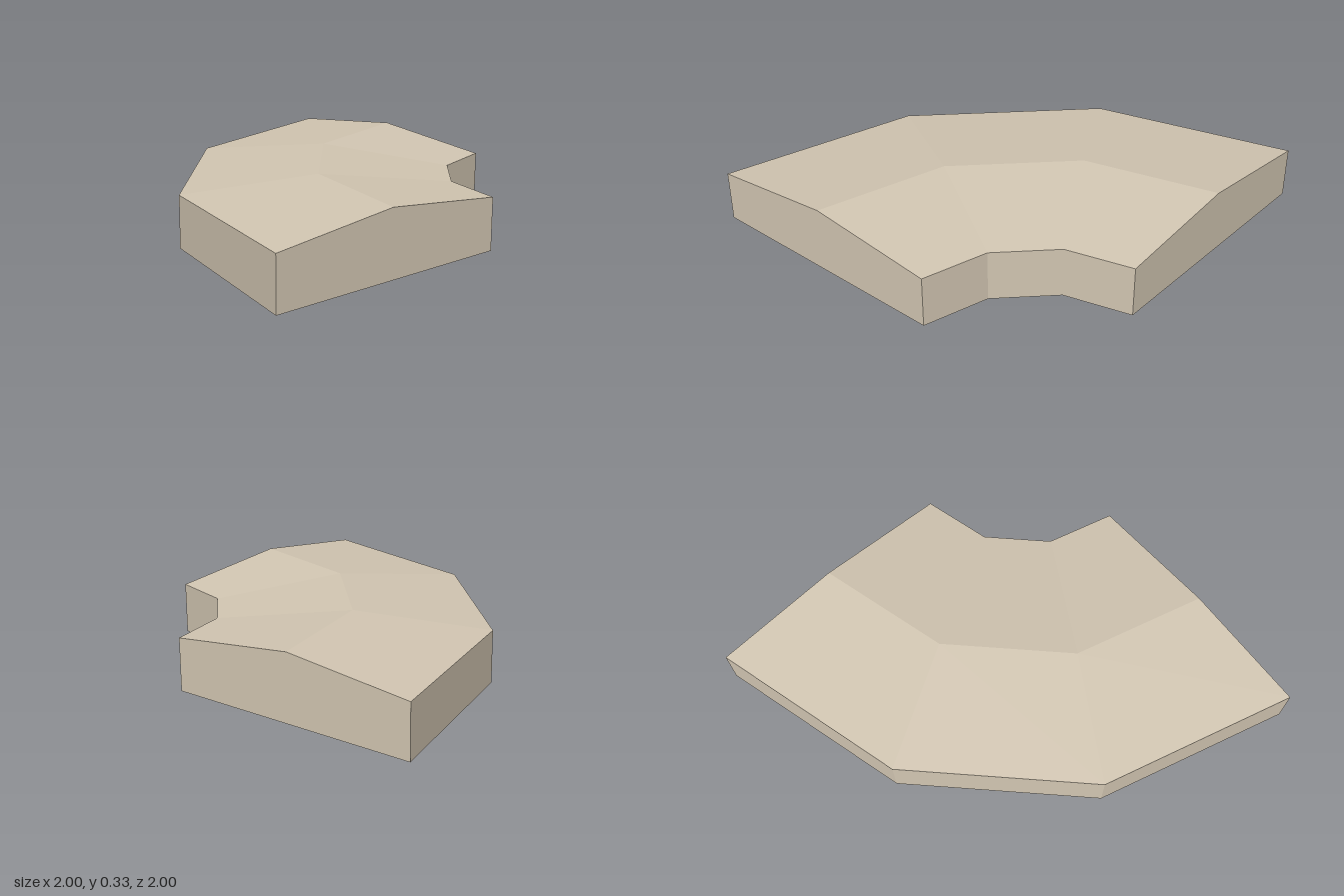
import * as THREE from 'three';

// Cross-section of the curved slab: [radius from the bend centre, height]
const PROFILE = [[0.667, 0], [0.667, 0.26], [1.333, 0.33], [2, 0.26], [2, 0]];
const SEGMENTS = 3;

// Sweep the profile a quarter turn around the corner (1, -1)
function bendGeometry() {
  const rings = [];
  for (let i = 0; i <= SEGMENTS; i++) {
    const a = (i / SEGMENTS) * Math.PI / 2;
    rings.push(PROFILE.map(([r, y]) => [1 - r * Math.cos(a), y, -1 + r * Math.sin(a)]));
  }
  const pos = [];
  const tri = (a, b, c) => pos.push(...a, ...b, ...c);
  const n = PROFILE.length;

  // Walls, sloped tops and underside
  for (let i = 0; i < SEGMENTS; i++) {
    const a = rings[i], b = rings[i + 1];
    for (let j = 0; j < n; j++) {
      const k = (j + 1) % n;
      tri(a[j], a[k], b[k]);
      tri(a[j], b[k], b[j]);
    }
  }

  // End caps
  const start = rings[0], end = rings[SEGMENTS];
  for (let j = 1; j < n - 1; j++) {
    tri(start[0], start[j + 1], start[j]);
    tri(end[0], end[j], end[j + 1]);
  }

  const geo = new THREE.BufferGeometry();
  geo.setAttribute('position', new THREE.Float32BufferAttribute(pos, 3));
  geo.computeVertexNormals();
  return geo;
}

export function createModel() {
  const group = new THREE.Group();
  group.name = 'curvedPathPiece';
  const stone = new THREE.MeshStandardMaterial({ color: 0xd2c6b2 });
  stone.name = 'sandstone';
  const slab = new THREE.Mesh(bendGeometry(), stone);
  slab.name = 'curvedSlab';
  group.add(slab);
  return group;
}
